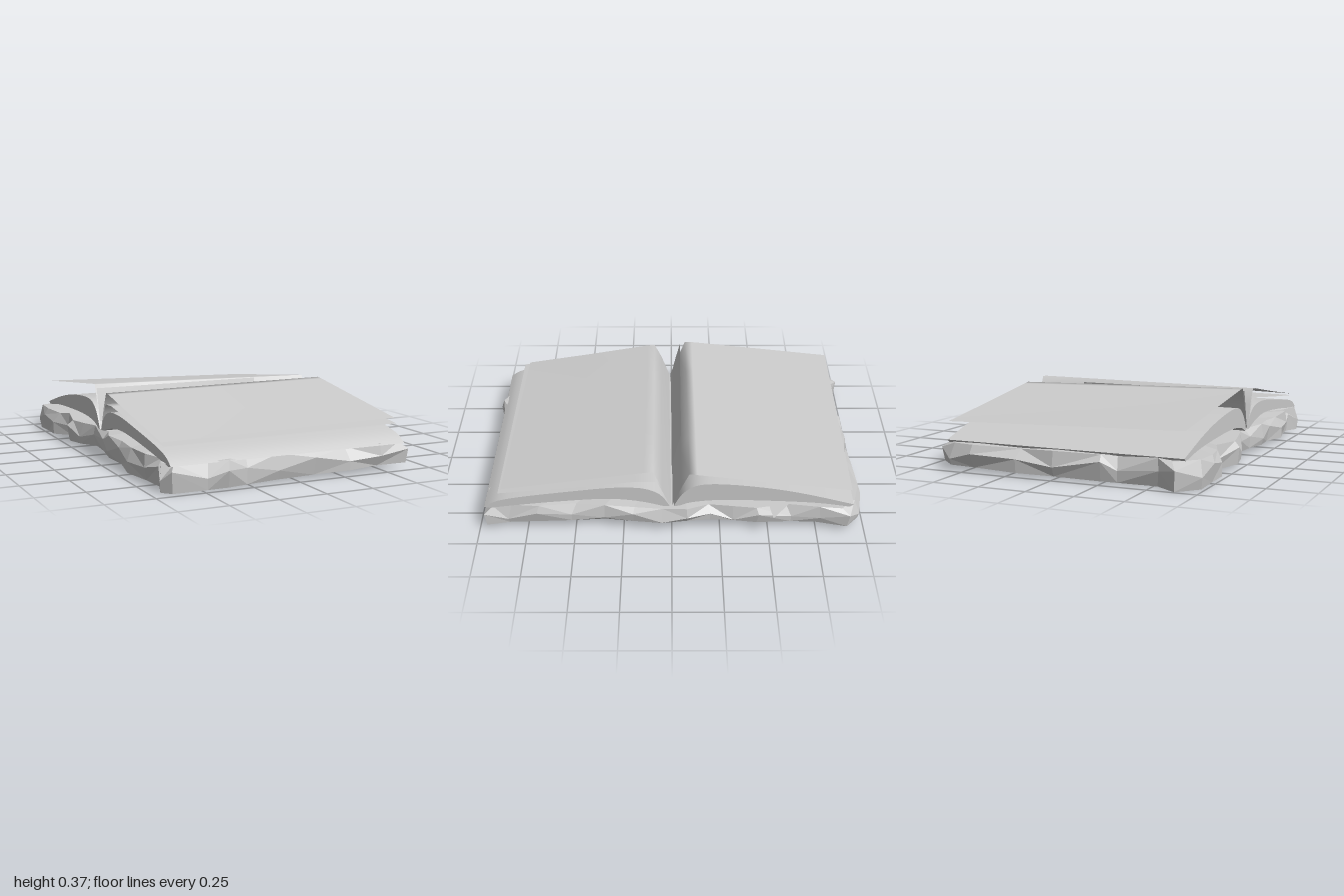
import * as THREE from 'three';
import { toCreasedNormals } from 'three/addons/utils/BufferGeometryUtils.js';

const X0 = -0.665, X1 = 0.615;
const material = new THREE.MeshStandardMaterial({ color: 0xcccccc, side: THREE.DoubleSide });
const rough = new THREE.MeshStandardMaterial({ color: 0xcccccc, side: THREE.DoubleSide, flatShading: true });

const smooth = (pts, n = 20) =>
  new THREE.SplineCurve(pts.map(([z, y]) => new THREE.Vector2(-z, y))).getPoints(n);

// Thick arched stack of pages between a top and a bottom curve of (z, y) points
function pageBlock(name, top, bottom) {
  const shape = new THREE.Shape([...smooth(top), ...smooth(bottom)]);
  const geo = new THREE.ExtrudeGeometry(shape, { depth: X1 - X0, bevelEnabled: false });
  geo.rotateY(Math.PI / 2).translate(X0, 0, 0);
  const mesh = new THREE.Mesh(toCreasedNormals(geo, 0.6), material);
  mesh.name = name;
  return mesh;
}

// Thin open leaf blended between its (z, y) paths at the -x and +x ends
function leaf(name, start, end, x1 = X1) {
  const cols = 4, rows = start.length - 1;
  const geo = new THREE.PlaneGeometry(1, 1, cols, rows);
  const p = geo.attributes.position;
  const flip = start[rows][0] < 0;
  for (let i = 0; i < p.count; i++) {
    const row = Math.floor(i / (cols + 1)), step = (i % (cols + 1)) / cols;
    const t = flip ? 1 - step : step;
    const [za, ya] = start[row], [zb, yb] = end[row];
    p.setXYZ(i, THREE.MathUtils.lerp(X0, x1, t), THREE.MathUtils.lerp(ya, yb, t), THREE.MathUtils.lerp(za, zb, t));
  }
  geo.computeVertexNormals();
  const mesh = new THREE.Mesh(geo, material);
  mesh.name = name;
  return mesh;
}

// Ragged faceted slab: rings stacked from an irregular outline of (x, z) points
function coverSlab() {
  const rim = [
    [-0.66, 0.97], [-0.48, 0.975], [-0.38, 1.0], [-0.27, 0.97], [-0.1, 0.97], [0.1, 0.975], [0.3, 0.97],
    [0.48, 0.97], [0.64, 0.97], [0.62, 0.85], [0.63, 0.7], [0.615, 0.52], [0.62, 0.35], [0.645, 0.2],
    [0.66, 0.05], [0.655, -0.08], [0.625, -0.2], [0.63, -0.32], [0.65, -0.45], [0.62, -0.62], [0.635, -0.77],
    [0.66, -0.92], [0.58, -0.98], [0.45, -1.0], [0.2, -0.99], [0, -0.985], [-0.25, -0.975], [-0.33, -0.95],
    [-0.54, -0.95], [-0.64, -1.0], [-0.74, -0.9], [-0.75, -0.76], [-0.74, -0.62], [-0.68, -0.52],
    [-0.74, -0.35], [-0.71, -0.22], [-0.67, -0.1], [-0.67, 0.05], [-0.7, 0.2], [-0.69, 0.35], [-0.71, 0.52],
    [-0.69, 0.7], [-0.665, 0.82], [-0.7, 0.92],
  ];
  const n = rim.length, pos = [], idx = [];
  const wave = (i, k) => Math.sin(i * 2.4 + k * 1.9);
  // bottom edge, bulging middle, top edge; the underside rises to a ridge below the spine
  for (let k = 0; k < 3; k++) rim.forEach(([x, z], i) => {
    const s = [0.985 + 0.012 * wave(i, 0), 1, 0.97 + 0.02 * wave(i, 2)][k];
    const bottom = 0.016 + 0.016 * x / 0.7 + 0.032 * (1 - Math.abs(z * s));
    const y = [bottom, 0.085 + 0.025 * wave(i, 1), 0.14 + 0.005 * wave(i, 2)][k];
    pos.push(x * s, y, z * s);
  });
  pos.push(0, 0.048, 0, 0, 0.142, 0);
  for (let i = 0; i < n; i++) {
    const j = (i + 1) % n;
    for (let k = 0; k < 2; k++) {
      const a = k * n + i, b = k * n + j;
      if (i % 2) idx.push(a, b + n, b, a, a + n, b + n);
      else idx.push(a, a + n, b, b, a + n, b + n);
    }
    idx.push(3 * n, i, j, 3 * n + 1, 2 * n + j, 2 * n + i);
  }
  // the outline runs +x along the front, so flip every face to point outward
  for (let i = 0; i < idx.length; i += 3) [idx[i + 1], idx[i + 2]] = [idx[i + 2], idx[i + 1]];
  let geo = new THREE.BufferGeometry();
  geo.setAttribute('position', new THREE.Float32BufferAttribute(pos, 3));
  geo.setIndex(idx);
  geo = geo.toNonIndexed();
  geo.computeVertexNormals();
  const mesh = new THREE.Mesh(geo, rough);
  mesh.name = 'raggedCover';
  return mesh;
}

// Small flat scrap sticking out of the page edge
function tornScrap() {
  const shape = new THREE.Shape([[0.58, 0.64], [0.745, 0.515], [0.58, 0.49]].map(p => new THREE.Vector2(...p)));
  const mesh = new THREE.Mesh(new THREE.ShapeGeometry(shape).rotateX(-Math.PI / 2), material);
  mesh.position.y = 0.165;
  mesh.name = 'tornScrap';
  return mesh;
}

export function createModel() {
  const book = new THREE.Group();
  book.name = 'openBook';
  book.add(coverSlab(), tornScrap());

  // Arched page stacks
  book.add(pageBlock('frontPages',
    [[0.01, 0.14], [0.06, 0.215], [0.15, 0.255], [0.3, 0.26], [0.5, 0.238], [0.75, 0.205], [0.9, 0.175], [0.97, 0.135]],
    [[0.94, 0.13], [0.8, 0.148], [0.6, 0.17], [0.35, 0.188], [0.18, 0.175], [0.04, 0.14]]));
  book.add(pageBlock('backPages',
    [[-0.01, 0.14], [-0.06, 0.225], [-0.14, 0.275], [-0.28, 0.28], [-0.5, 0.255], [-0.7, 0.215], [-0.94, 0.15]],
    [[-0.92, 0.135], [-0.75, 0.16], [-0.5, 0.175], [-0.25, 0.18], [-0.1, 0.165], [-0.03, 0.138]]));

  // Loose leaves rising out of the gutter
  book.add(leaf('frontUpperLeaf',
    [[0.015, 0.15], [0.06, 0.27], [0.1, 0.35], [0.14, 0.347], [0.5, 0.285], [0.855, 0.228]],
    [[0.003, 0.15], [0.05, 0.26], [0.095, 0.358], [0.14, 0.354], [0.5, 0.303], [0.877, 0.25]]));
  book.add(leaf('frontLowerLeaf',
    [[0.018, 0.15], [0.06, 0.24], [0.09, 0.29], [0.18, 0.292], [0.5, 0.255], [0.885, 0.214]],
    [[0.012, 0.15], [0.05, 0.24], [0.075, 0.295], [0.18, 0.298], [0.5, 0.262], [0.893, 0.224]]));
  book.add(leaf('backUpperLeaf',
    [[0.005, 0.15], [-0.04, 0.27], [-0.08, 0.372], [-0.12, 0.37], [-0.5, 0.327], [-0.925, 0.278]],
    [[-0.005, 0.15], [-0.05, 0.26], [-0.09, 0.345], [-0.13, 0.34], [-0.5, 0.293], [-0.925, 0.242]]));
  book.add(leaf('gutterLeaf',
    [[0, 0.15], [-0.025, 0.26], [-0.05, 0.355]],
    [[0, 0.15], [-0.025, 0.26], [-0.05, 0.355]], 0.28));
  return book;
}
